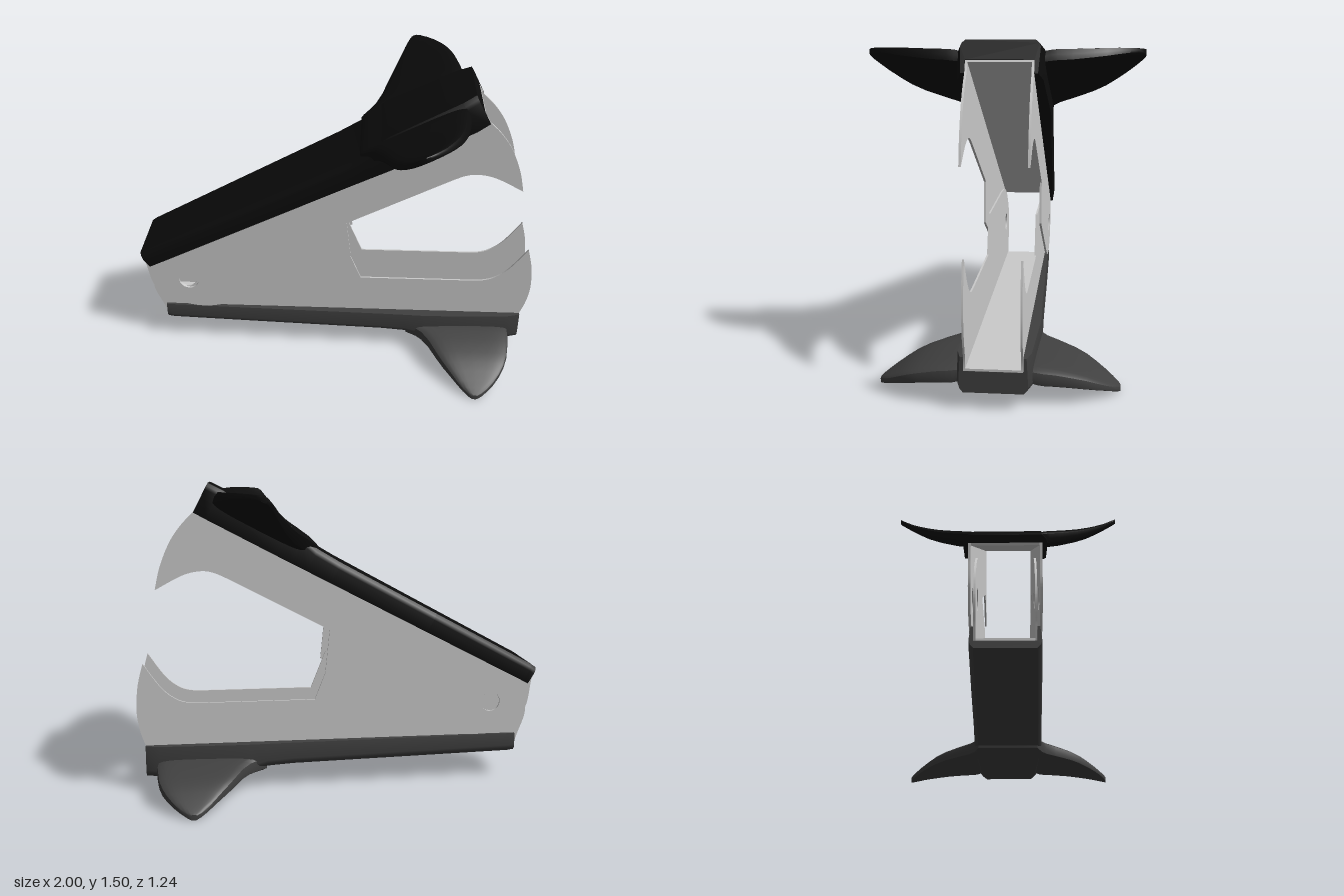
import * as THREE from 'three';
import { toCreasedNormals } from 'three/addons/utils/BufferGeometryUtils.js';

const vec = (list) => list.map(([a, b]) => new THREE.Vector2(a, b));

// Closed skin through counter-clockwise cross-sections stacked along z, capped at both ends
function loft(sections) {
  const n = sections[0].pts.length, last = (sections.length - 1) * n;
  const pos = [], index = [];
  for (const { at, pts } of sections) for (const p of pts) pos.push(p.x, p.y, at);
  for (let k = 0; k < sections.length - 1; k++) {
    for (let i = 0; i < n; i++) {
      const a = k * n + i, b = k * n + (i + 1) % n;
      index.push(a, b, b + n, a, b + n, a + n);
    }
  }
  for (const [a, b, c] of THREE.ShapeUtils.triangulateShape(sections[0].pts, [])) index.push(a, c, b);
  for (const [a, b, c] of THREE.ShapeUtils.triangulateShape(sections.at(-1).pts, [])) {
    index.push(last + a, last + b, last + c);
  }
  const geo = new THREE.BufferGeometry();
  geo.setAttribute('position', new THREE.Float32BufferAttribute(pos, 3));
  geo.setIndex(index);
  return toCreasedNormals(geo, 0.6);
}

// Steel side plate with hooked tooth and pivot hole; the jaw runs along x, its back on y = 0
function plateGeometry() {
  const s = new THREE.Shape();
  s.moveTo(0, 0.06);
  s.lineTo(-0.02, 0);
  s.splineThru(vec([[-0.055, -0.115], [-0.03, -0.23], [0.08, -0.337], [0.2, -0.385], [0.367, -0.398]]));
  s.lineTo(0.953, -0.4);
  s.lineTo(1.03, -0.208);
  s.lineTo(1.59, -0.208);
  s.splineThru(vec([[1.66, -0.213], [1.72, -0.237], [1.785, -0.295], [1.865, -0.412]]));
  s.splineThru(vec([[1.893, -0.3], [1.903, -0.175], [1.89, -0.075], [1.866, 0]]));
  s.lineTo(1.866, 0.06);
  s.closePath();
  const hole = new THREE.Path();
  hole.absarc(0.125, -0.17, 0.05, 0, Math.PI * 2, true);
  s.holes.push(hole);
  const geo = new THREE.ExtrudeGeometry(s, { depth: 0.01, bevelEnabled: false, curveSegments: 16 });
  return toCreasedNormals(geo, 0.6);
}

// Channel-shaped plastic grip: rows of [distance along jaw, half width, height]
function coverGeometry() {
  const rows = [
    [0, 0.166, 0.09], [0.03, 0.168, 0.094], [0.6, 0.185, 0.102], [1.14, 0.199, 0.11],
    [1.27, 0.204, 0.117], [1.35, 0.208, 0.137], [1.43, 0.208, 0.155], [1.8, 0.19, 0.155], [1.866, 0.17, 0.154],
  ];
  const inner = 0.146, floor = 0.061;
  const sections = rows.map(([at, w, h]) => {
    const half = [[inner, floor], [inner, 0], [w - 0.008, 0], [w, h - 0.032], [w - 0.006, h - 0.015], [w - 0.022, h]];
    const other = half.map(([z, y]) => [-z, y]).reverse();
    return { at, pts: vec([...half, ...other]) };
  });
  return loft(sections).rotateY(Math.PI / 2);
}

// Finger wings: rows of [z, rear edge, front edge, inner face, outer face]
function wingGeometry() {
  const rows = [
    [0.18, 1.27, 1.81, 0.065, 0.148], [0.205, 1.32, 1.81, 0.066, 0.155], [0.235, 1.352, 1.81, 0.07, 0.158],
    [0.3, 1.39, 1.803, 0.078, 0.161], [0.39, 1.43, 1.79, 0.097, 0.168], [0.45, 1.462, 1.772, 0.115, 0.177],
    [0.5, 1.495, 1.748, 0.137, 0.187], [0.55, 1.53, 1.715, 0.162, 0.2], [0.585, 1.558, 1.683, 0.181, 0.213],
    [0.61, 1.583, 1.655, 0.195, 0.223], [0.622, 1.602, 1.634, 0.203, 0.229],
  ];
  const soft = (c, p) => Math.sign(c) * Math.abs(c) ** p;
  const section = ([at, a, b, lo, hi]) => {
    const pts = [];
    for (let i = 0; i < 24; i++) {
      const t = (i / 24) * Math.PI * 2;
      pts.push(new THREE.Vector2(
        (a + b) / 2 + (b - a) / 2 * soft(Math.cos(t), 0.6),
        (lo + hi) / 2 + (hi - lo) / 2 * soft(Math.sin(t), 0.4)));
    }
    return { at, pts };
  };
  const mirrored = rows.map(([z, ...rest]) => [-z, ...rest]).reverse();
  return loft([...mirrored, ...rows].map(section));
}

function makeJaw(name, gripColor) {
  const steel = new THREE.MeshStandardMaterial({ color: 0xcccccc });
  const grip = new THREE.MeshStandardMaterial({ color: gripColor });
  const jaw = new THREE.Group();
  jaw.name = name;
  const add = (part, geo, mat) => {
    const mesh = new THREE.Mesh(geo, mat);
    mesh.name = part;
    jaw.add(mesh);
    return mesh;
  };
  const plate = plateGeometry();
  add('leftSidePlate', plate, steel).position.z = 0.135;
  add('rightSidePlate', plate, steel).position.z = -0.145;
  add('steelWeb', new THREE.BoxGeometry(1.866, 0.01, 0.27), steel).position.set(0.933, 0.055, 0);
  add('gripCover', coverGeometry(), grip);
  add('fingerWings', wingGeometry(), grip);
  return jaw;
}

export function createModel() {
  const model = new THREE.Group();
  model.name = 'stapleRemover';

  const upper = makeJaw('upperJaw', 0x0c0c0c);
  upper.position.set(-0.96, 0.5, 0);
  upper.rotation.z = 0.485;

  // The lower jaw is the same shape turned over and narrower, nested inside the upper one
  const lower = makeJaw('lowerJaw', 0x404040);
  lower.position.set(-0.908, 0.232, 0);
  lower.rotation.x = Math.PI;
  lower.scale.z = 0.85;

  model.add(upper, lower);
  return model;
}
